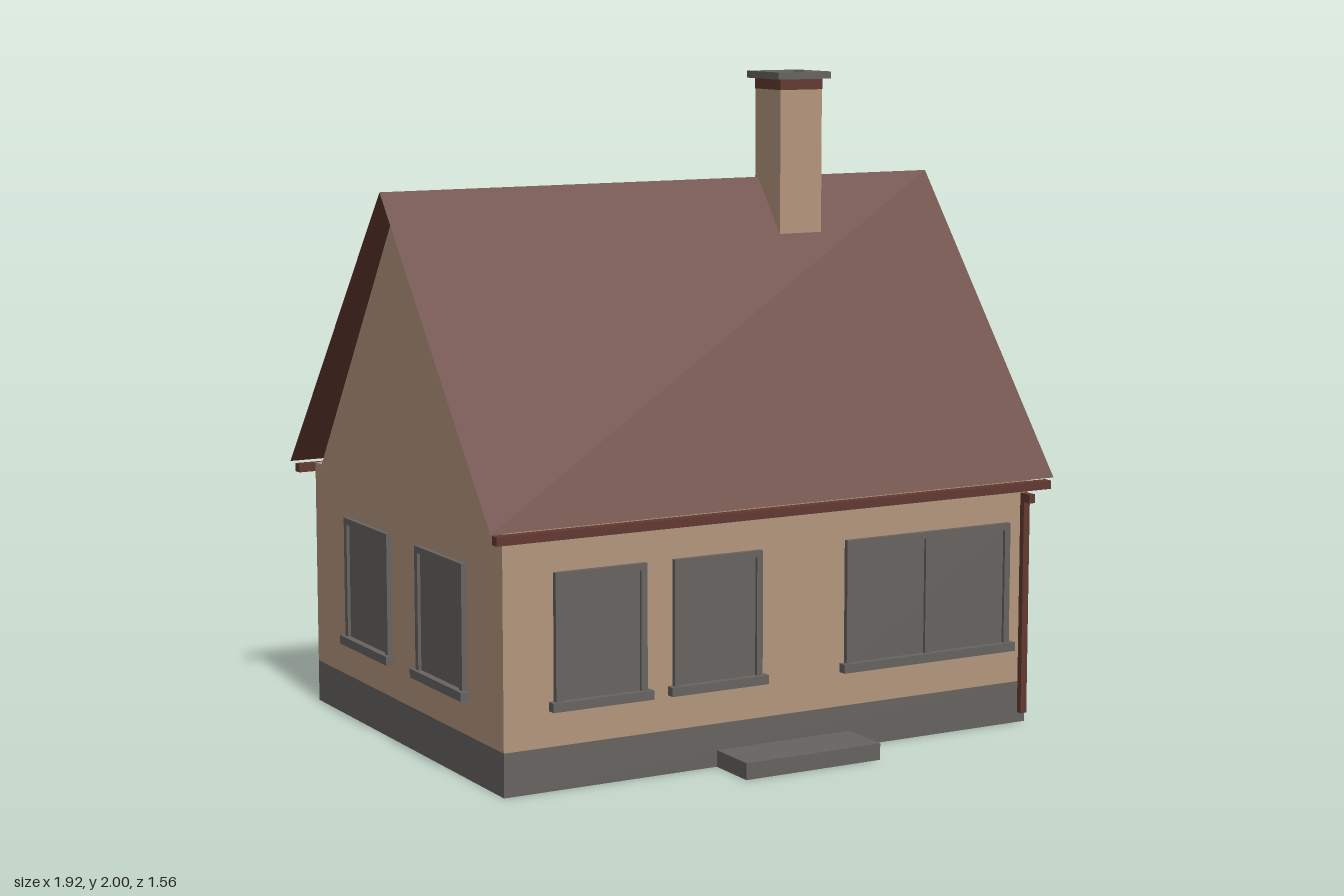
import * as THREE from 'three';

const wallMat = new THREE.MeshStandardMaterial({ name: 'tan plaster', color: 0xb4967d });
const roofMat = new THREE.MeshStandardMaterial({ name: 'red brown roof', color: 0x623930, side: THREE.DoubleSide });
const greyMat = new THREE.MeshStandardMaterial({ name: 'stone grey', color: 0x666360, side: THREE.DoubleSide });

const FRONT = 0.61, BACK = -0.72, HALF = 0.9, PLINTH = 0.13, EAVE = 0.77;

function add(parent, name, geometry, material) {
  const mesh = new THREE.Mesh(geometry, material);
  mesh.name = name;
  parent.add(mesh);
  return mesh;
}

// Box given by its minimum and maximum corners
function block(parent, name, material, [x0, y0, z0], [x1, y1, z1]) {
  const g = new THREE.BoxGeometry(x1 - x0, y1 - y0, z1 - z0);
  g.translate((x0 + x1) / 2, (y0 + y1) / 2, (z0 + z1) / 2);
  return add(parent, name, g, material);
}

function rectPoints(x0, y0, x1, y1) {
  return [[x0, y0], [x1, y0], [x1, y1], [x0, y1]].map(([x, y]) => new THREE.Vector2(x, y));
}

// Rectangular frame with rectangular holes, extruded towards +z
function frameGeometry(outer, holes, depth) {
  const shape = new THREE.Shape(rectPoints(...outer));
  for (const h of holes) shape.holes.push(new THREE.Path(rectPoints(...h)));
  return new THREE.ExtrudeGeometry(shape, { depth, bevelEnabled: false });
}

// Window facing +z, centred on its own x, with one or two panes
function makeWindow(name, width, panes) {
  const group = new THREE.Group();
  group.name = name;
  const w = width / 2, y0 = 0.24, y1 = 0.635, t = 0.02;
  const holes = panes === 2
    ? [[-w + t, y0 + t, -0.015, y1 - t], [0.015, y0 + t, w - t, y1 - t]]
    : [[-w + t, y0 + t, w - t, y1 - t]];
  add(group, 'windowFrame', frameGeometry([-w, y0, w, y1], holes, 0.016), greyMat);
  block(group, 'windowGlass', greyMat, [-w + 0.01, y0 + 0.01, 0], [w - 0.01, y1 - 0.01, 0.006]);
  block(group, 'windowSill', greyMat, [-w - 0.015, 0.235, 0], [w + 0.015, 0.262, 0.028]);
  return group;
}

export function createModel() {
  const house = new THREE.Group();
  house.name = 'house';
  const depth = FRONT - BACK, midZ = (FRONT + BACK) / 2;

  // Hollow plinth, open below, with a raised floor
  const plinth = new THREE.BoxGeometry(HALF * 2, PLINTH, depth);
  const index = Array.from(plinth.index.array).filter((_, i) => i < 12 || i >= 24);
  plinth.setIndex(index);
  plinth.clearGroups();
  plinth.translate(0, PLINTH / 2, midZ);
  add(house, 'plinth', plinth, greyMat);
  const floor = new THREE.PlaneGeometry(HALF * 2, depth).rotateX(Math.PI / 2);
  floor.translate(0, PLINTH - 0.003, midZ);
  add(house, 'floor', floor, greyMat);

  // Walls and gables as one profile run along x
  const profile = [[FRONT, PLINTH], [FRONT, EAVE], [0.56, EAVE], [-0.055, 1.66], [-0.67, EAVE], [BACK, EAVE], [BACK, PLINTH]];
  const wallShape = new THREE.Shape(profile.map(([z, y]) => new THREE.Vector2(-z, y)));
  const walls = new THREE.ExtrudeGeometry(wallShape, { depth: HALF * 2, bevelEnabled: false });
  walls.rotateY(Math.PI / 2).translate(-HALF, 0, 0);
  add(house, 'walls', walls, wallMat);

  // Two thin roof slopes meeting at the ridge
  const ridgeZ = -0.06, run = 0.72, rise = 0.9;
  for (const side of [1, -1]) {
    const slope = new THREE.PlaneGeometry(1.92, Math.hypot(run, rise));
    slope.rotateX(-Math.atan2(run, rise));
    if (side < 0) slope.rotateY(Math.PI);
    slope.translate(0, 1.67 - rise / 2, ridgeZ + side * run / 2);
    add(house, side > 0 ? 'frontRoof' : 'backRoof', slope, roofMat);
  }

  // Gutters and downpipe
  block(house, 'frontGutter', roofMat, [-0.945, 0.737, 0.638], [0.945, 0.763, 0.668]);
  block(house, 'backGutter', roofMat, [-0.945, 0.737, -0.775], [0.945, 0.763, -0.745]);
  block(house, 'downpipe', roofMat, [0.864, 0.035, 0.622], [0.886, 0.725, 0.641]);
  block(house, 'downpipeElbow', roofMat, [0.864, 0.698, 0.622], [0.886, 0.725, 0.668]);

  // Chimney with band and hollow cap
  const cx = 0.405;
  block(house, 'chimney', wallMat, [cx - 0.075, 1.4, -0.075], [cx + 0.075, 1.945, 0.075]);
  block(house, 'chimneyBand', roofMat, [cx - 0.076, 1.945, -0.076], [cx + 0.076, 1.978, 0.076]);
  const cap = frameGeometry([-0.095, -0.095, 0.095, 0.095], [[-0.045, -0.045, 0.045, 0.045]], 0.022);
  cap.rotateX(-Math.PI / 2).translate(cx, 1.978, 0);
  add(house, 'chimneyCap', cap, greyMat);
  block(house, 'flueFloor', greyMat, [cx - 0.05, 1.974, -0.05], [cx + 0.05, 1.981, 0.05]);

  // Entrance step
  block(house, 'step', greyMat, [-0.205, 0, FRONT], [0.255, 0.05, 0.78]);

  // Windows: name, centre x, centre z, turn, width, panes
  const windows = [
    ['frontWindow', -0.593, FRONT, 0, 0.296, 1],
    ['frontWindow', -0.207, FRONT, 0, 0.296, 1],
    ['frontDoubleWindow', 0.53, FRONT, 0, 0.592, 2],
    ['leftWindow', HALF, 0.204, Math.PI / 2, 0.32, 1],
    ['leftWindow', HALF, -0.31, Math.PI / 2, 0.32, 1],
    ['rightWindow', -HALF, 0.215, -Math.PI / 2, 0.32, 1],
    ['rightWindow', -HALF, -0.305, -Math.PI / 2, 0.32, 1],
    ...[0.667, 0.31, -0.155, -0.59].map((x) => ['backWindow', x, BACK, Math.PI, 0.296, 1]),
  ];
  for (const [name, x, z, turn, width, panes] of windows) {
    const w = makeWindow(name, width, panes);
    w.position.set(x, 0, z);
    w.rotation.y = turn;
    house.add(w);
  }
  return house;
}
